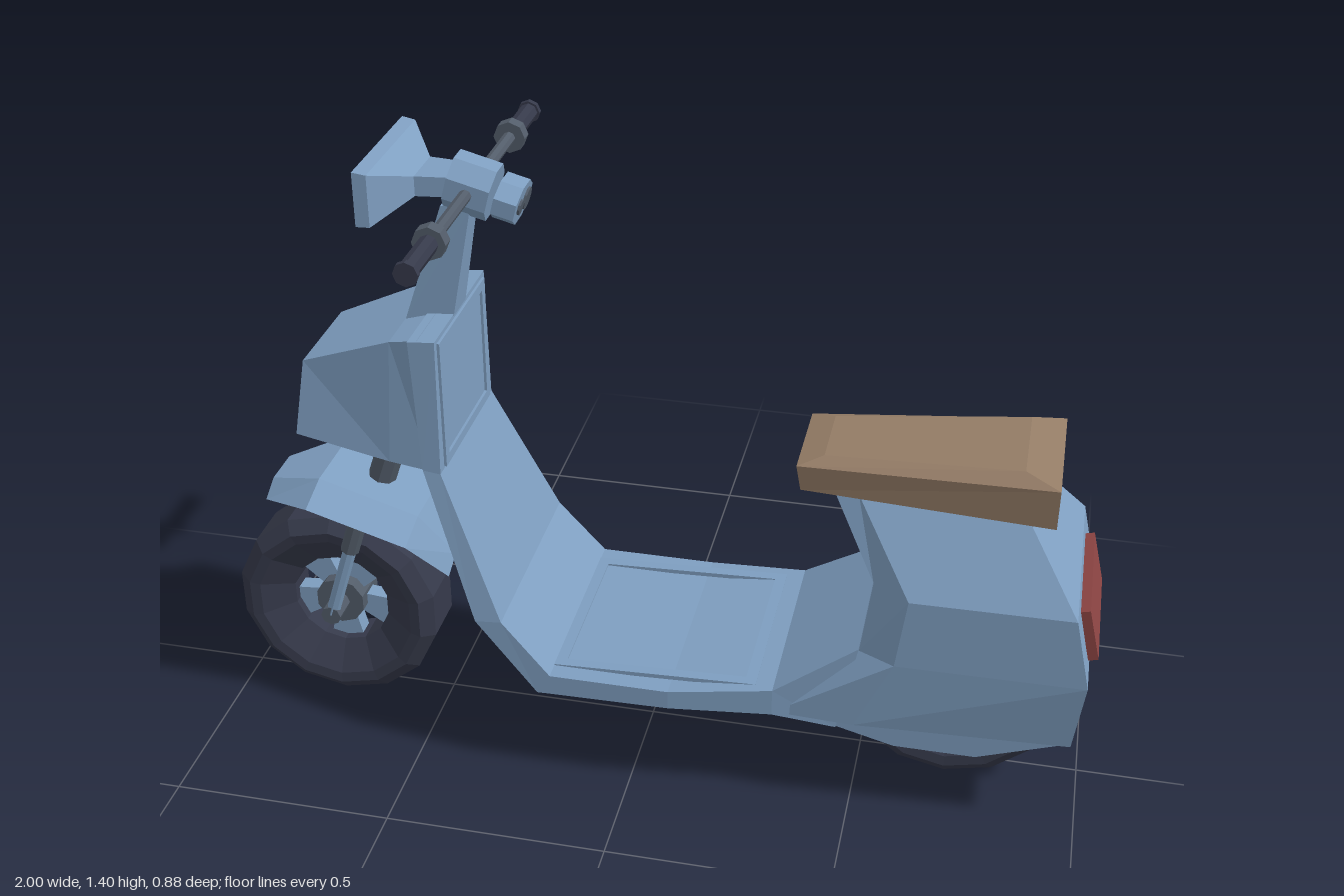
import * as THREE from 'three';

const mat = (name, color) => {
  const m = new THREE.MeshStandardMaterial({ color, flatShading: true, side: THREE.DoubleSide });
  m.name = name;
  return m;
};

// Mirrors half a section (points with +z) into a full ring
const ring = (half) => half.concat([...half].reverse().map(([x, y, z]) => [x, y, -z]));

// Skins a row of sections, optionally closing each ring and capping the ends
function loft(rings, { closed = true, capStart = true, capEnd = true } = {}) {
  const n = rings[0].length, index = [];
  for (let i = 0; i < rings.length - 1; i++) {
    for (let j = 0; j < (closed ? n : n - 1); j++) {
      const a = i * n + j, b = i * n + (j + 1) % n;
      index.push(a, b, b + n, a, b + n, a + n);
    }
  }
  const last = (rings.length - 1) * n;
  for (let j = 1; j < n - 1; j++) {
    if (capStart) index.push(0, j + 1, j);
    if (capEnd) index.push(last, last + j, last + j + 1);
  }
  const g = new THREE.BufferGeometry();
  g.setAttribute('position', new THREE.Float32BufferAttribute(rings.flat(2), 3));
  g.setIndex(index);
  g.computeVertexNormals();
  return g;
}

// Flat rectangular border, w by h, lying in the xy plane
function frame(w, h, border, depth) {
  const rect = (P, a, b) => new P([[-a, -b], [a, -b], [a, b], [-a, b]].map((p) => new THREE.Vector2(...p)));
  const s = rect(THREE.Shape, w / 2, h / 2);
  s.holes.push(rect(THREE.Path, w / 2 - border, h / 2 - border));
  return new THREE.ExtrudeGeometry(s, { depth, bevelEnabled: false });
}

export function createModel() {
  const model = new THREE.Group();
  const paint = mat('blue paint', 0x7f9fc1), leather = mat('brown seat', 0x957d67);
  const rubber = mat('dark rubber', 0x363a4b), metal = mat('grey metal', 0x535d6a);
  const red = mat('red lens', 0x8e4544), yellow = mat('yellow lens', 0x9a8f38);

  const add = (name, geometry, material, parent = model) => {
    const m = new THREE.Mesh(geometry, material);
    m.name = name;
    parent.add(m);
    return m;
  };
  const rod = (name, a, b, r, material, sides = 8, r2 = r) => {
    const A = new THREE.Vector3(...a), B = new THREE.Vector3(...b);
    const m = add(name, new THREE.CylinderGeometry(r2, r, A.distanceTo(B), sides), material);
    m.position.copy(A).add(B).multiplyScalar(0.5);
    m.quaternion.setFromUnitVectors(new THREE.Vector3(0, 1, 0), B.sub(A).normalize());
    return m;
  };

  // Wheels: tyre, five flared spokes and hub
  const tyreProfile = [[0.118, -0.04], [0.19, -0.085], [0.215, -0.088], [0.246, -0.062],
    [0.246, 0.062], [0.215, 0.088], [0.19, 0.085], [0.118, 0.04], [0.118, -0.04]]
    .map((p) => new THREE.Vector2(...p));
  const spokeShape = new THREE.Shape([[-0.022, 0.04], [0.022, 0.04], [0.042, 0.125], [-0.042, 0.125]]
    .map((p) => new THREE.Vector2(...p)));
  for (const [name, x] of [['frontWheel', -0.755], ['rearWheel', 0.7]]) {
    const wheel = new THREE.Group();
    wheel.name = name;
    wheel.position.set(x, 0.248, 0);
    add('tyre', new THREE.LatheGeometry(tyreProfile, 14).rotateX(Math.PI / 2), rubber, wheel);
    for (let i = 0; i < 5; i++) {
      const g = new THREE.ExtrudeGeometry(spokeShape, { depth: 0.04, bevelEnabled: false });
      add('spoke', g.translate(0, 0, -0.02).rotateZ(Math.PI / 5 + i * Math.PI * 0.4), paint, wheel);
    }
    add('hub', new THREE.CylinderGeometry(0.06, 0.06, 0.1, 10).rotateX(Math.PI / 2), metal, wheel);
    add('axle', new THREE.CylinderGeometry(0.024, 0.024, 0.23, 8).rotateX(Math.PI / 2), metal, wheel);
    model.add(wheel);
  }

  // Front fork
  rod('steeringColumn', [-0.67, 0.5, 0], [-0.56, 0.82, 0], 0.033, metal);
  for (const s of [1, -1]) {
    rod('forkLeg', [-0.755, 0.25, s * 0.1], [-0.67, 0.52, s * 0.1], 0.016, paint);
    rod('forkSleeve', [-0.697, 0.435, s * 0.1], [-0.665, 0.535, s * 0.1], 0.022, metal);
  }

  // Front fender: a folded sheet with drooping sides
  const fender = [[-0.89, 0.575, 0.09], [-0.755, 0.62, 0.18], [-0.525, 0.55, 0.18], [-0.455, 0.43, 0.1]];
  add('frontFender', loft(fender.map(([x, y, w]) => ring([[x - 0.005, y - 0.035, w], [x, y, w * 0.55]])),
    { closed: false, capStart: false, capEnd: false }), paint);

  // Leg shield and floor in one bent plate: top x, y, underside x, y, half width
  const plate = [[-0.43, 1.045, -0.49, 1.04, 0.18], [-0.43, 0.73, -0.47, 0.735, 0.193],
    [-0.29, 0.4, -0.35, 0.395, 0.255], [-0.18, 0.275, -0.21, 0.225, 0.262], [0.09, 0.275, 0.09, 0.23, 0.262],
    [0.32, 0.3, 0.32, 0.235, 0.24], [0.5, 0.42, 0.46, 0.2, 0.21]];
  add('floorAndLegShield', loft(plate.map(([x, y, u, v, w]) => ring([[x, y, w], [u, v, w]]))), paint);
  const shieldFrame = add('shieldFrame', frame(0.33, 0.3, 0.022, 0.008), paint);
  shieldFrame.rotation.y = Math.PI / 2;
  shieldFrame.position.set(-0.432, 0.885, 0);
  const floorFrame = add('floorFrame', frame(0.46, 0.44, 0.025, 0.01).rotateX(-Math.PI / 2), paint);
  floorFrame.rotation.z = 0.04;
  floorFrame.position.set(0.05, 0.277, 0);

  // Front nose: x, top y, half width, bottom y, half width
  const nose = [[-0.755, 0.935, 0.12, -0.775, 0.765, 0.15], [-0.54, 1.022, 0.155, -0.55, 0.74, 0.18],
    [-0.47, 1.042, 0.175, -0.45, 0.733, 0.19]];
  add('nose', loft(nose.map(([x, y, w, u, v, k]) => ring([[x, y, w], [u, v, k]]))), paint);

  // Rear body: height, then front, shoulder and rear corners as x, z
  const body = [[0.235, 0.32, 0.23, 0.5, 0.238, 0.97, 0.212], [0.41, 0.5, 0.2, 0.58, 0.24, 0.988, 0.235],
    [0.575, 0.52, 0.18, 0.6, 0.235, 0.95, 0.23], [0.75, 0.415, 0.1, 0.47, 0.11, 0.82, 0.11]];
  add('rearBody', loft(body.map(([y, a, az, b, bz, c, cz]) => ring([[a, y, az], [b, y, bz], [c, y, cz]])),
    { capStart: false }), paint);
  const skirt = new THREE.Shape([[0.32, 0.24], [0.59, 0.17], [0.77, 0.17], [0.965, 0.24]]
    .map((p) => new THREE.Vector2(...p)));
  for (const z of [0.135, -0.21]) {
    const g = new THREE.ExtrudeGeometry(skirt, { depth: 0.075, bevelEnabled: false });
    add('sideSkirt', g.translate(0, 0, z), paint);
  }
  const tail = add('tailLight', new THREE.BoxGeometry(0.022, 0.125, 0.31), red);
  tail.position.set(0.98, 0.492, 0);
  tail.rotation.z = 0.24;

  // Seat with a chamfered, rising top
  add('seat', loft([
    ring([[0.345, 0.745, 0.11], [0.885, 0.745, 0.152]]),
    ring([[0.335, 0.805, 0.115], [0.885, 0.838, 0.155]]),
    ring([[0.39, 0.822, 0.085], [0.81, 0.855, 0.115]]),
  ]), leather);

  // Handlebar stem
  add('stem', loft([
    ring([[-0.54, 1.02, 0.043], [-0.43, 1.04, 0.043]]),
    ring([[-0.45, 1.29, 0.03], [-0.385, 1.29, 0.03]]),
  ]), paint);

  // Handlebar head and instrument pod, tilted back
  const head = new THREE.Group();
  head.name = 'handlebarHead';
  head.position.set(-0.385, 1.33, 0);
  head.rotation.z = -0.26;
  const octagon = (r, depth) => new THREE.CylinderGeometry(r, r, depth, 8, 1, false, Math.PI / 8).rotateZ(Math.PI / 2);
  add('headBlock', octagon(0.063, 0.095), paint, head);
  add('instrumentPod', octagon(0.062, 0.05).scale(1, 0.75, 1.1), paint, head).position.set(0.085, 0.0, 0);
  for (const [z, r] of [[0.026, 0.017], [-0.024, 0.025]]) {
    const dial = new THREE.CylinderGeometry(r, r, 0.006, 10).rotateZ(Math.PI / 2);
    add('dial', dial, metal, head).position.set(0.112, 0, z);
  }
  model.add(head);

  // Headlight hood: x, bottom y, top y, half width
  const hood = [[-0.59, 1.285, 1.405, 0.16], [-0.56, 1.285, 1.4, 0.158], [-0.495, 1.318, 1.362, 0.055],
    [-0.41, 1.318, 1.362, 0.045]];
  add('headlightHood', loft(hood.map(([x, b, t, w]) => ring([[x, t, w], [x, b, w]]))), paint);
  add('headlight', new THREE.BoxGeometry(0.008, 0.065, 0.22), yellow).position.set(-0.592, 1.345, 0);

  // Handlebar, collars and grips
  rod('handlebar', [-0.385, 1.33, -0.3], [-0.385, 1.33, 0.3], 0.014, metal);
  for (const s of [1, -1]) {
    const at = (z) => [-0.385, 1.33, s * z];
    rod('collar', at(0.27), at(0.3), 0.036, metal);
    rod('grip', at(0.3), at(0.43), 0.021, rubber);
    rod('gripEnd', at(0.428), at(0.442), 0.026, rubber);
  }
  return model;
}
